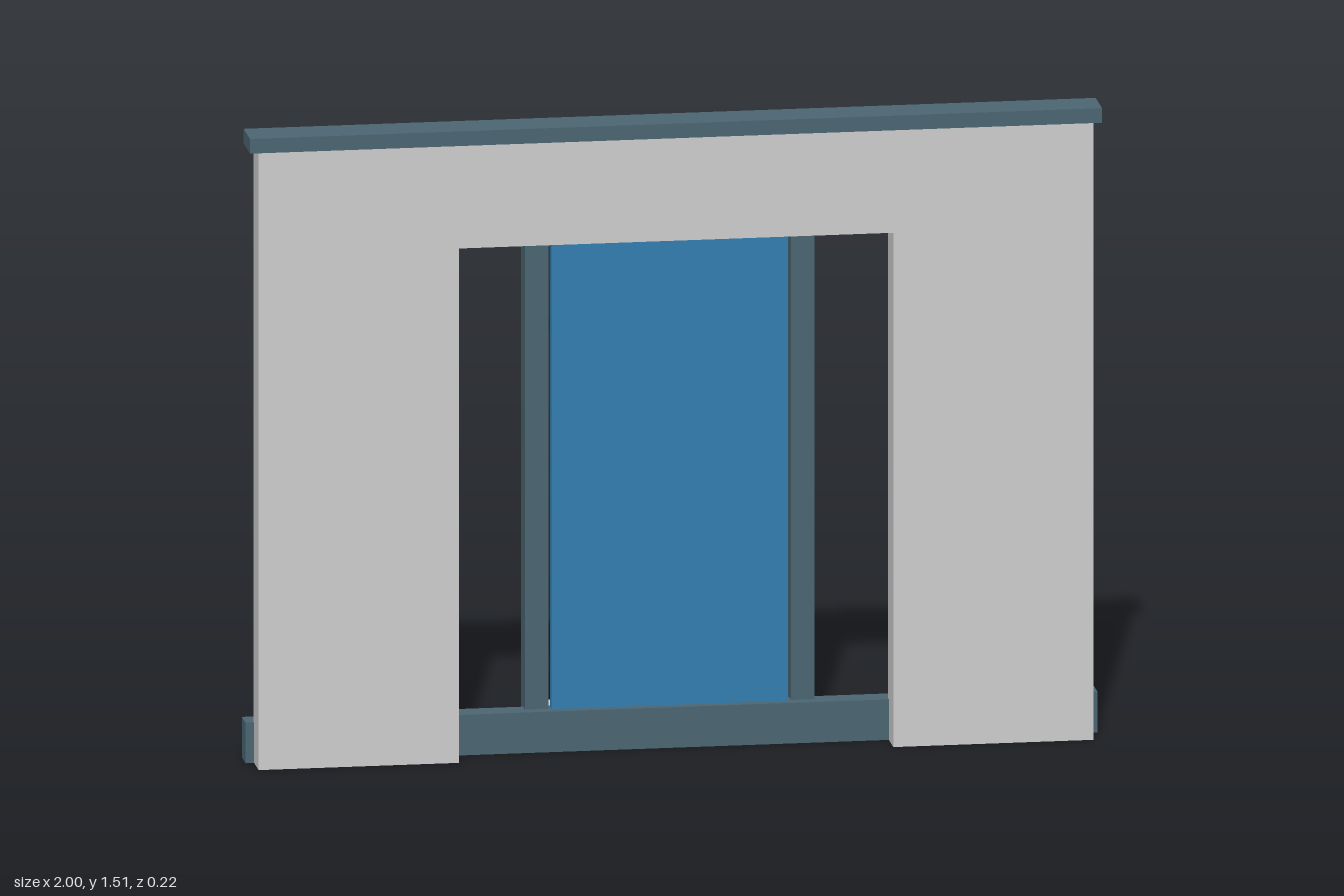
import * as THREE from 'three';

const grey = new THREE.MeshStandardMaterial({ color: 0xcccccc });
const steel = new THREE.MeshStandardMaterial({ color: 0x4a6572 });
const blue = new THREE.MeshStandardMaterial({ color: 0x327db0 });
const dark = new THREE.MeshStandardMaterial({ color: 0x23292d });

export function createModel() {
  const model = new THREE.Group();
  model.name = 'doorInWall';

  const add = (name, geometry, material) => {
    const mesh = new THREE.Mesh(geometry, material);
    mesh.name = name;
    model.add(mesh);
    return mesh;
  };
  // Box given by its limits on each axis
  const box = (name, material, [x0, x1], [y0, y1], [z0, z1]) =>
    add(name, new THREE.BoxGeometry(x1 - x0, y1 - y0, z1 - z0), material)
      .position.set((x0 + x1) / 2, (y0 + y1) / 2, (z0 + z1) / 2);
  // Cylinder lying along z
  const pin = (name, material, x, y, r, [z0, z1]) =>
    add(name, new THREE.CylinderGeometry(r, r, z1 - z0, 16).rotateX(Math.PI / 2), material)
      .position.set(x, y, (z0 + z1) / 2);

  // Wall with a wide opening that reaches the floor
  const outline = new THREE.Shape([
    [-0.98, 0], [-0.51, 0], [-0.51, 1.23], [0.51, 1.23],
    [0.51, 0], [0.98, 0], [0.98, 1.475], [-0.98, 1.475],
  ].map(([x, y]) => new THREE.Vector2(x, y)));
  add('wall', new THREE.ExtrudeGeometry(outline, { depth: 0.08, bevelEnabled: false }), grey)
    .position.z = 0.03;

  // Top rail and bottom beam
  box('topRail', steel, [-1, 1], [1.475, 1.51], [0.01, 0.11]);
  box('bottomBeam', steel, [-1, 1], [0, 0.097], [-0.017, 0.04]);

  // Thin battens on the back of the wall
  for (const x of [-0.96, -0.66, 0.66, 0.96])
    box('batten', steel, [x - 0.007, x + 0.007], [0.09, 1.445], [0.018, 0.031]);

  // Door frame: two posts, header and corner bolts
  for (const s of [-1, 1]) {
    const xs = [s * 0.285, s * 0.34].sort((a, b) => a - b);
    box('framePost', steel, xs, [0.035, 1.307], [-0.05, 0.012]);
    for (const y of [0.08, 1.287])
      pin('frameBolt', dark, s * 0.318, y, 0.009, [-0.058, -0.045]);
  }
  box('frameHeader', steel, [-0.33, 0.33], [1.255, 1.315], [-0.052, 0.01]);

  // Door leaf with kick plate
  box('doorLeaf', blue, [-0.278, 0.277], [0.08, 1.28], [-0.006, 0.018]);
  box('kickPlate', grey, [-0.22, 0.22], [0.1, 0.29], [-0.014, -0.005]);

  // Handle on its plate
  box('handlePlate', steel, [0.17, 0.25], [0.59, 0.75], [-0.016, -0.005]);
  pin('handle', dark, 0.21, 0.67, 0.016, [-0.087, -0.014]);

  // Three hinges
  for (const y of [0.32, 0.67, 1.01])
    pin('hinge', dark, -0.295, y, 0.021, [-0.076, -0.008]);

  // Threshold step at the back
  box('step', grey, [-0.32, 0.32], [0.04, 0.088], [-0.11, -0.05]);

  return model;
}
